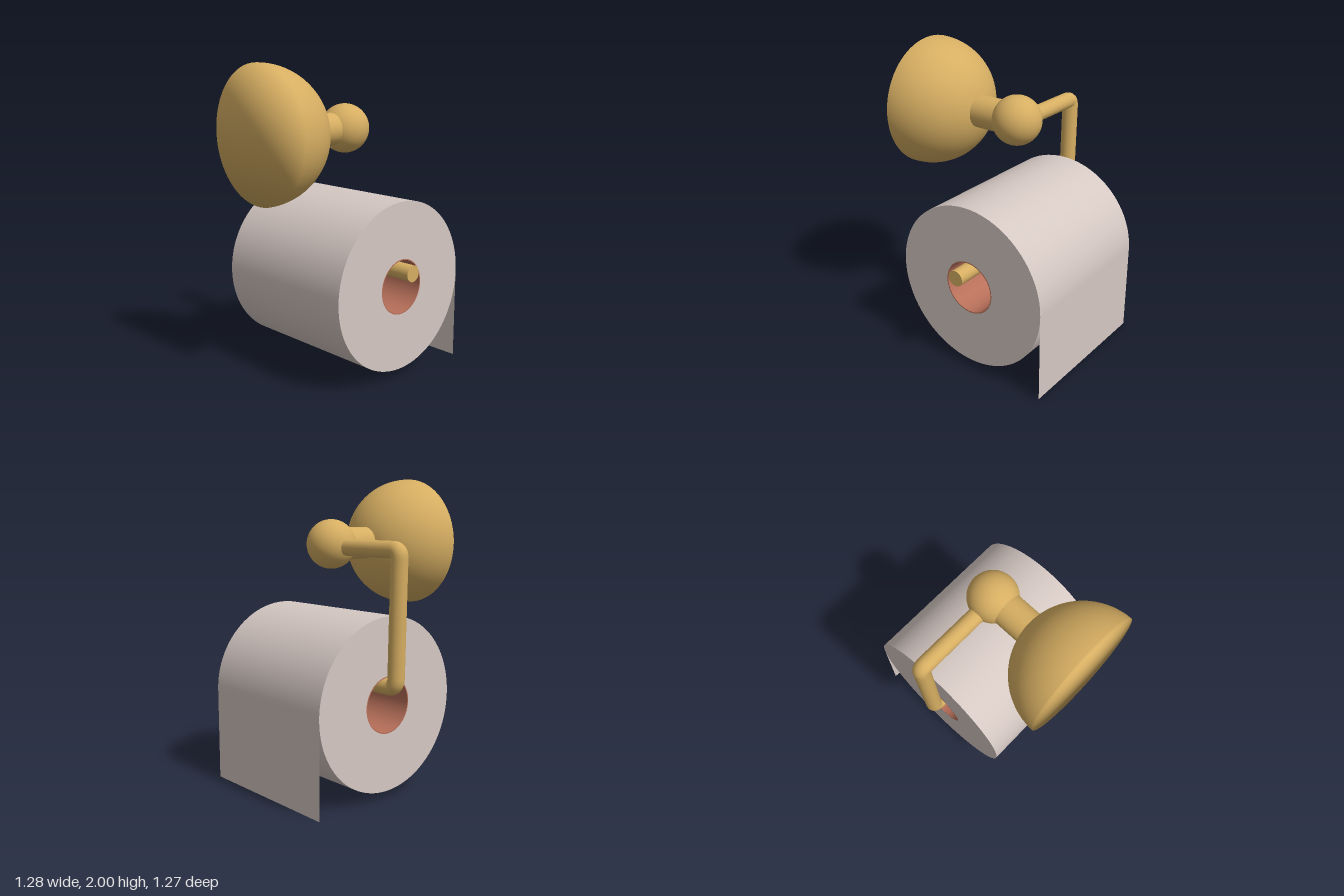
import * as THREE from 'three';
import { toCreasedNormals } from 'three/addons/utils/BufferGeometryUtils.js';

const brass = new THREE.MeshStandardMaterial({ color: 0xd6ae62 });
const paper = new THREE.MeshStandardMaterial({ color: 0xd5c8c3 });
const paperSheet = new THREE.MeshStandardMaterial({ color: 0xd5c8c3, side: THREE.DoubleSide });
const cardboard = new THREE.MeshStandardMaterial({ color: 0xb8705a });

const MOUNT = { x: 0.02, y: 1.572 };
const ROLL = { left: -0.52, width: 1.05, y: 0.605, z: -0.085, radius: 0.55, core: 0.18 };
const ROD_Z = -0.07, ROD_RADIUS = 0.053;

function part(group, name, geometry, material, x = 0, y = 0, z = 0) {
  const mesh = new THREE.Mesh(geometry, material);
  mesh.name = name;
  mesh.position.set(x, y, z);
  group.add(mesh);
  return mesh;
}

// Hollow cylinder running along +x from the origin
function ring(outer, inner, length) {
  const shape = new THREE.Shape().absarc(0, 0, outer, 0, Math.PI * 2);
  shape.holes.push(new THREE.Path().absarc(0, 0, inner, 0, Math.PI * 2, true));
  const geometry = new THREE.ExtrudeGeometry(shape, { depth: length, bevelEnabled: false, curveSegments: 48 });
  return toCreasedNormals(geometry.rotateY(Math.PI / 2), 0.6);
}

// Sphere whose front half is pressed flat, keeping its soft shading
function flattenedDome(radius) {
  const geometry = new THREE.SphereGeometry(radius, 64, 40);
  const position = geometry.attributes.position;
  for (let i = 0; i < position.count; i++) position.setZ(i, Math.min(position.getZ(i), 0));
  return geometry;
}

// Straight runs joined by rounded corners
function bentPath(points, bends) {
  const path = new THREE.CurvePath();
  let from = points[0];
  for (let i = 1; i < points.length - 1; i++) {
    const corner = points[i];
    const before = points[i - 1].clone().sub(corner).setLength(bends[i - 1]).add(corner);
    const after = points[i + 1].clone().sub(corner).setLength(bends[i - 1]).add(corner);
    path.add(new THREE.LineCurve3(from, before));
    path.add(new THREE.QuadraticBezierCurve3(before, corner, after));
    from = after;
  }
  path.add(new THREE.LineCurve3(from, points[points.length - 1]));
  return path;
}

export function createModel() {
  const model = new THREE.Group();
  model.name = 'toiletRollHolder';

  // Wall mount, neck and ball joint
  part(model, 'wallMount', flattenedDome(0.428), brass, MOUNT.x, MOUNT.y, 0.635);
  const neck = new THREE.CylinderGeometry(0.106, 0.106, 0.33, 40).rotateX(Math.PI / 2);
  part(model, 'neck', neck, brass, MOUNT.x, MOUNT.y, 0.125);
  part(model, 'ballJoint', new THREE.SphereGeometry(0.16, 40, 28), brass, MOUNT.x, MOUNT.y, -0.075);

  // Bent arm that carries the roll
  const armPoints = [[MOUNT.x, 1.555], [-0.592, 1.555], [-0.572, 0.716], [0.637, 0.716]]
    .map(([x, y]) => new THREE.Vector3(x, y, ROD_Z));
  const path = bentPath(armPoints, [0.045, 0.06]);
  part(model, 'arm', new THREE.TubeGeometry(path, 200, ROD_RADIUS, 24), brass);
  const cap = new THREE.CircleGeometry(ROD_RADIUS, 24).rotateY(Math.PI / 2);
  part(model, 'armEnd', cap, brass, 0.637, 0.716, ROD_Z);

  // Paper roll with cardboard core
  const { left, width, y, z, radius, core } = ROLL;
  part(model, 'paperRoll', ring(radius, core, width), paper, left, y, z);
  part(model, 'cardboardCore', ring(core, core - 0.007, width), cardboard, left, y, z);

  // Loose sheet hanging down the back
  const sheet = new THREE.PlaneGeometry(width, y).rotateY(Math.PI);
  part(model, 'looseSheet', sheet, paperSheet, left + width / 2, y / 2, z - radius);

  return model;
}
